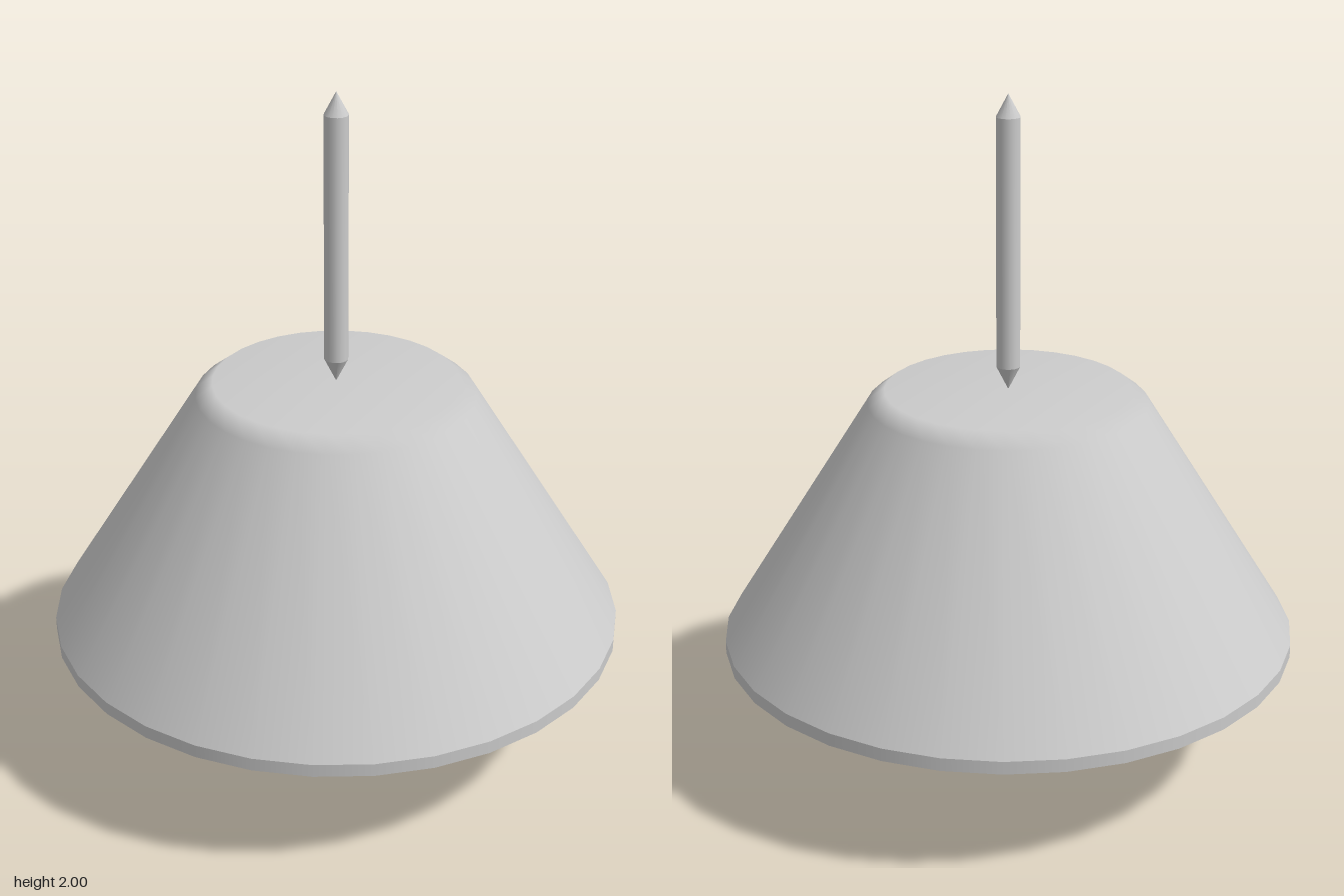
import * as THREE from 'three';

const material = new THREE.MeshStandardMaterial({ color: 0xcccccc });

// Surface of revolution; profiles run so that their right-hand side faces out.
function lathe(name, profile, sides) {
  const points = profile.map(([r, y]) => new THREE.Vector2(r, y));
  const mesh = new THREE.Mesh(new THREE.LatheGeometry(points, sides), material);
  mesh.name = name;
  return mesh;
}

// Outer skin and lip are crisp where they meet; the inside rolls softly into the rim.
function createShade() {
  const shade = new THREE.Group();
  shade.name = 'shade';
  shade.add(
    lathe('shadeOuter', [[0.852, 0.4], [0.41, 1.105], [0.36, 1.143], [0, 1.143]], 32),
    lathe('shadeLip', [[0.852, 0.362], [0.852, 0.4]], 32),
    lathe('shadeInner', [
      [0, 0.95], [0.36, 0.95], [0.435, 0.9], [0.745, 0.425], [0.79, 0.362], [0.852, 0.362],
    ], 32),
  );
  return shade;
}

// Thin hanging rod with a pointed tip at each end.
function createRod() {
  const rod = new THREE.Group();
  rod.name = 'rod';
  const r = 0.035;
  rod.add(
    lathe('rodLowerTip', [[0, 1.14], [r, 1.21]], 16),
    lathe('rodShaft', [[r, 1.21], [r, 1.935]], 16),
    lathe('rodUpperTip', [[r, 1.935], [0, 2]], 16),
  );
  return rod;
}

export function createModel() {
  const model = new THREE.Group();
  model.name = 'pendantLamp';

  // Tapered socket between the shade ceiling and the bulb
  const socket = lathe('socket', [[0.21, 0.48], [0.12, 0.95]], 32);

  const bulb = new THREE.Mesh(new THREE.SphereGeometry(0.31, 32, 24), material);
  bulb.name = 'bulb';
  bulb.position.y = 0.31;

  model.add(createShade(), createRod(), socket, bulb);
  return model;
}
